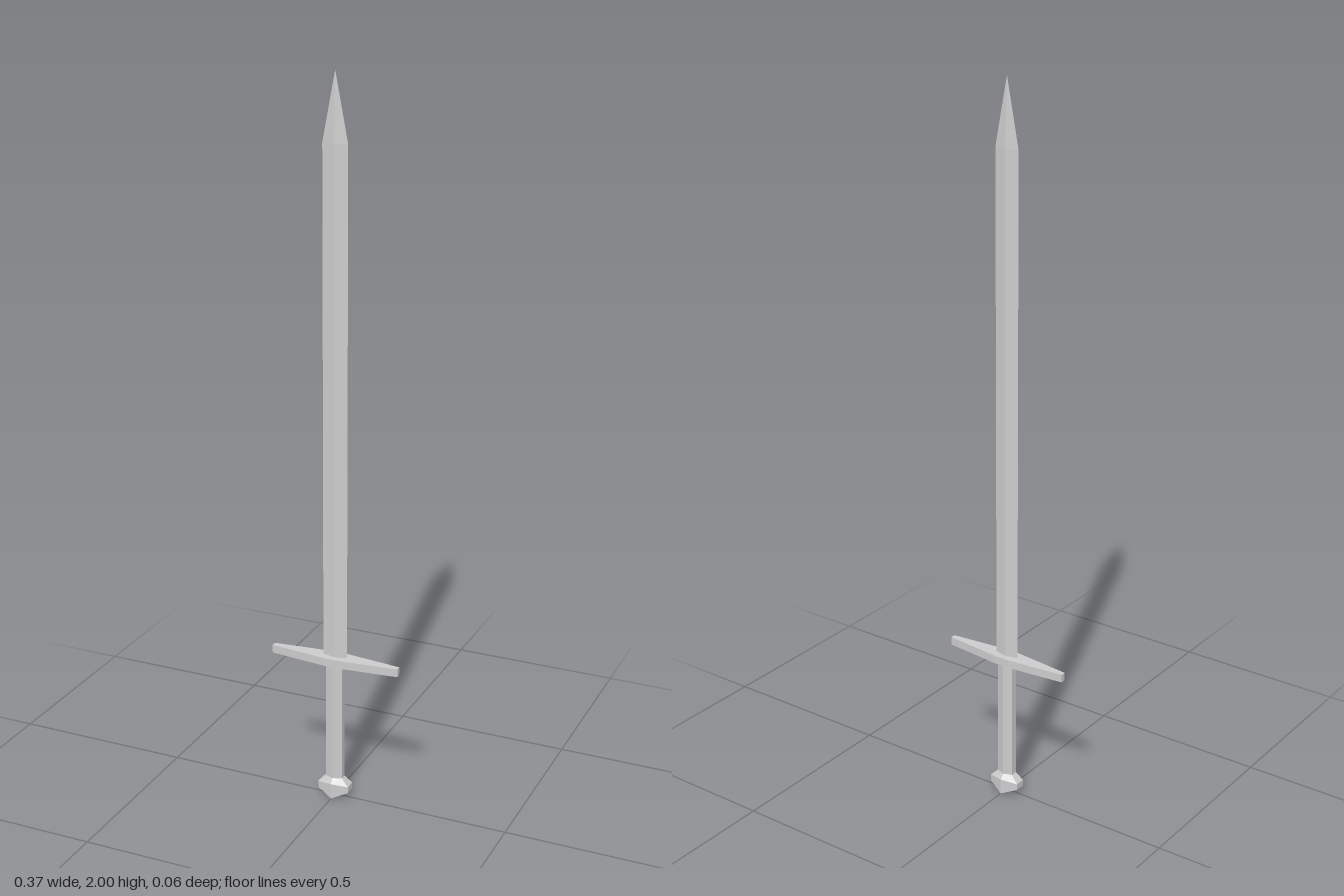
import * as THREE from 'three';

// Stack of horizontal rings, counter-clockwise from above; a ring of scale 0 closes an end.
function loft(name, rings) {
  const pos = [];
  const a = new THREE.Vector3(), b = new THREE.Vector3(), c = new THREE.Vector3();
  const tri = (p, q, r) => {
    a.fromArray(p); b.fromArray(q); c.fromArray(r);
    if (b.sub(a).cross(c.sub(a)).length() > 1e-9) pos.push(...p, ...q, ...r);
  };
  for (let k = 0; k + 1 < rings.length; k++) {
    const lo = rings[k], hi = rings[k + 1], n = lo.length;
    for (let i = 0; i < n; i++) {
      const j = (i + 1) % n;
      tri(lo[i], lo[j], hi[j]);
      tri(lo[i], hi[j], hi[i]);
    }
  }
  const geo = new THREE.BufferGeometry();
  geo.setAttribute('position', new THREE.Float32BufferAttribute(pos, 3));
  geo.computeVertexNormals();
  const mesh = new THREE.Mesh(geo, new THREE.MeshStandardMaterial({ color: 0xcccccc, flatShading: true }));
  mesh.name = name;
  return mesh;
}

const ring = (outline, y, s = 1) => outline.map(([x, z]) => [x * s, y, z * s]);

// Stretched hexagon with corners facing front and back; yMid is the height of those corners.
const hexRing = (w, d, y, yMid = y) => [
  [w, y, d / 2], [w, y, -d / 2], [0, yMid, -d],
  [-w, y, -d / 2], [-w, y, d / 2], [0, yMid, d],
];

export function createModel() {
  const sword = new THREE.Group();
  sword.name = 'sword';

  // Diamond-section blade tapering to a point
  const diamond = [[0.035, 0], [0, -0.008], [-0.035, 0], [0, 0.008]];
  sword.add(loft('blade', [
    ring(diamond, 0.41, 0), ring(diamond, 0.41), ring(diamond, 1.82), ring(diamond, 2, 0),
  ]));

  // Crossguard, thick in the middle and narrow at the ends
  const guard = [
    [0.185, 0.007], [0.185, -0.007], [0.02, -0.025], [-0.02, -0.025],
    [-0.185, -0.007], [-0.185, 0.007], [-0.02, 0.025], [0.02, 0.025],
  ];
  sword.add(loft('crossguard', [
    ring(guard, 0.402, 0), ring(guard, 0.402), ring(guard, 0.425), ring(guard, 0.425, 0),
  ]));

  // Six-sided grip
  sword.add(loft('grip', [hexRing(0.024, 0.018, 0.05), hexRing(0.024, 0.018, 0.41)]));

  // Pommel with a ridge along its underside
  sword.add(loft('pommel', [
    hexRing(0, 0, 0),
    hexRing(0.045, 0.03, 0.02, 0),
    hexRing(0.045, 0.03, 0.038, 0.045),
    hexRing(0.024, 0.018, 0.058),
    hexRing(0, 0, 0.058),
  ]));

  return sword;
}
